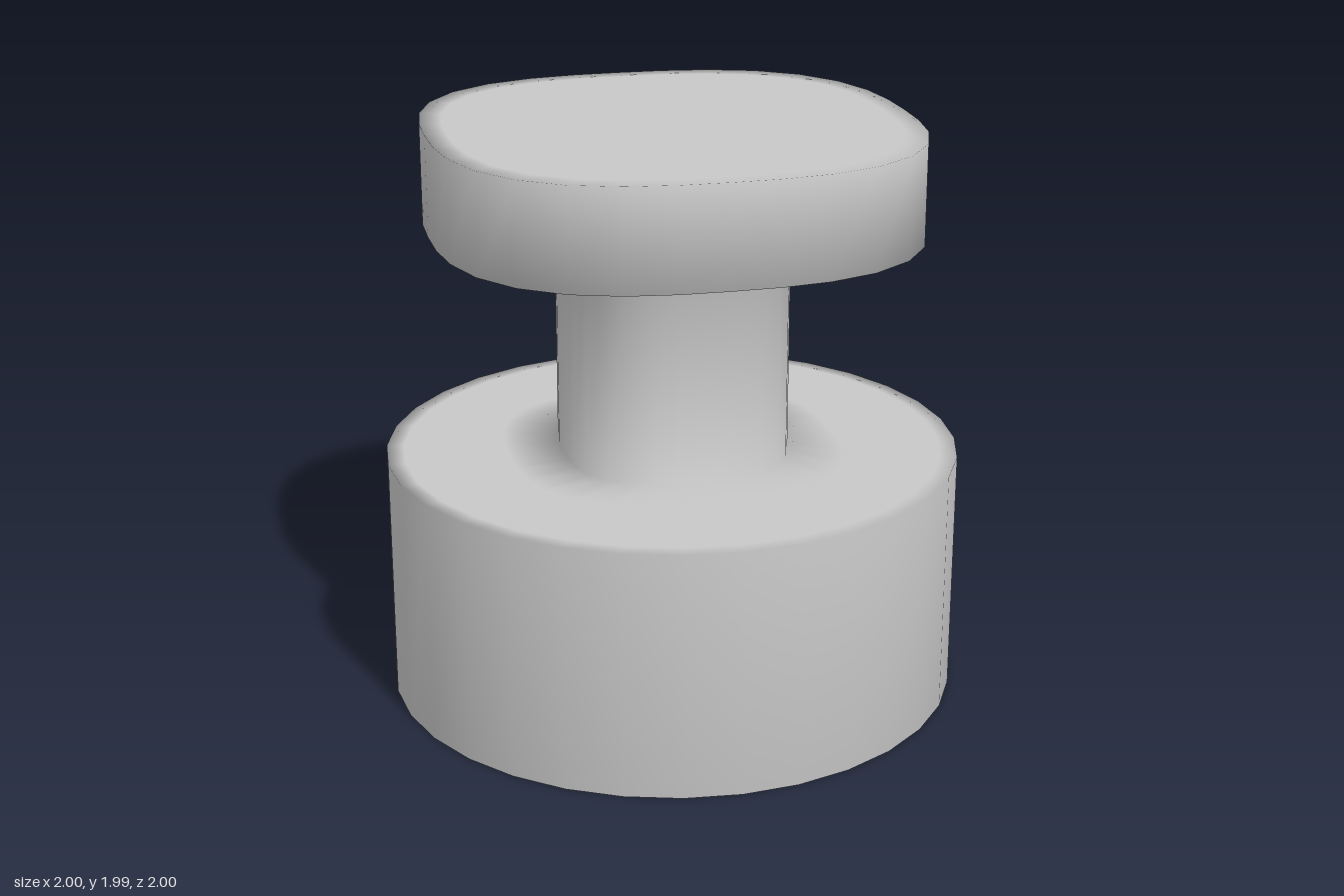
import * as THREE from 'three';

const SIDES = 32;

// Each ring: height, half width, half depth, roundness (2 = circle), centre x, centre z
const RINGS = [
  // base
  [0, 0, 0, 2, 0, 0],
  [0, 0.9, 0.9, 2, 0, 0],
  [0, 1, 1, 2, 0, 0],
  [0.86, 1, 1, 2, 0, 0],
  [0.86, 0.94, 0.94, 2, 0, 0],
  [0.86, 0.58, 0.58, 2.7, 0, 0],
  [0.86, 0.39, 0.39, 2.7, 0, 0],
  // stem
  [1.64, 0.39, 0.39, 2.7, 0, 0],
  // cap
  [1.64, 0.58, 0.58, 2.7, 0, 0],
  [1.64, 0.835, 0.83, 2.7, 0.01, -0.07],
  [1.99, 0.835, 0.83, 2.7, 0.01, -0.07],
  [1.99, 0.76, 0.755, 2.7, 0.01, -0.07],
  [1.99, 0, 0, 2.7, 0.01, -0.07],
];

// First and last ring of each part
const PARTS = { base: [0, 6], stem: [6, 7], cap: [7, 12] };

// Indices of the quads joining ring `from` up to ring `to`
function bandIndices(from, to) {
  const index = [];
  for (let r = from; r < to; r++) {
    for (let i = 0; i < SIDES; i++) {
      const j = (i + 1) % SIDES;
      const a = r * SIDES + i, b = r * SIDES + j;
      const c = b + SIDES, d = a + SIDES;
      index.push(a, b, c, a, c, d);
    }
  }
  return index;
}

export function createModel() {
  const group = new THREE.Group();
  group.name = 'knob';
  const grey = new THREE.MeshStandardMaterial({ color: 0xc8c8c8 });
  grey.name = 'light grey';

  // Rounded-square or circular cross-sections
  const positions = [];
  for (const [y, w, d, n, cx, cz] of RINGS) {
    for (let i = 0; i < SIDES; i++) {
      const t = (i / SIDES) * Math.PI * 2;
      const s = Math.sin(t), c = Math.cos(t);
      const r = Math.pow(Math.abs(s) ** n + Math.abs(c) ** n, -1 / n);
      positions.push(cx + w * r * s, y, cz + d * r * c);
    }
  }

  // Smooth normals over the whole body, so shading flows between the parts
  const body = new THREE.BufferGeometry();
  body.setAttribute('position', new THREE.Float32BufferAttribute(positions, 3));
  body.setIndex(bandIndices(0, RINGS.length - 1));
  body.computeVertexNormals();

  for (const [name, [from, to]] of Object.entries(PARTS)) {
    const geometry = body.clone();
    geometry.setIndex(bandIndices(from, to));
    const mesh = new THREE.Mesh(geometry, grey);
    mesh.name = name;
    group.add(mesh);
  }
  return group;
}
